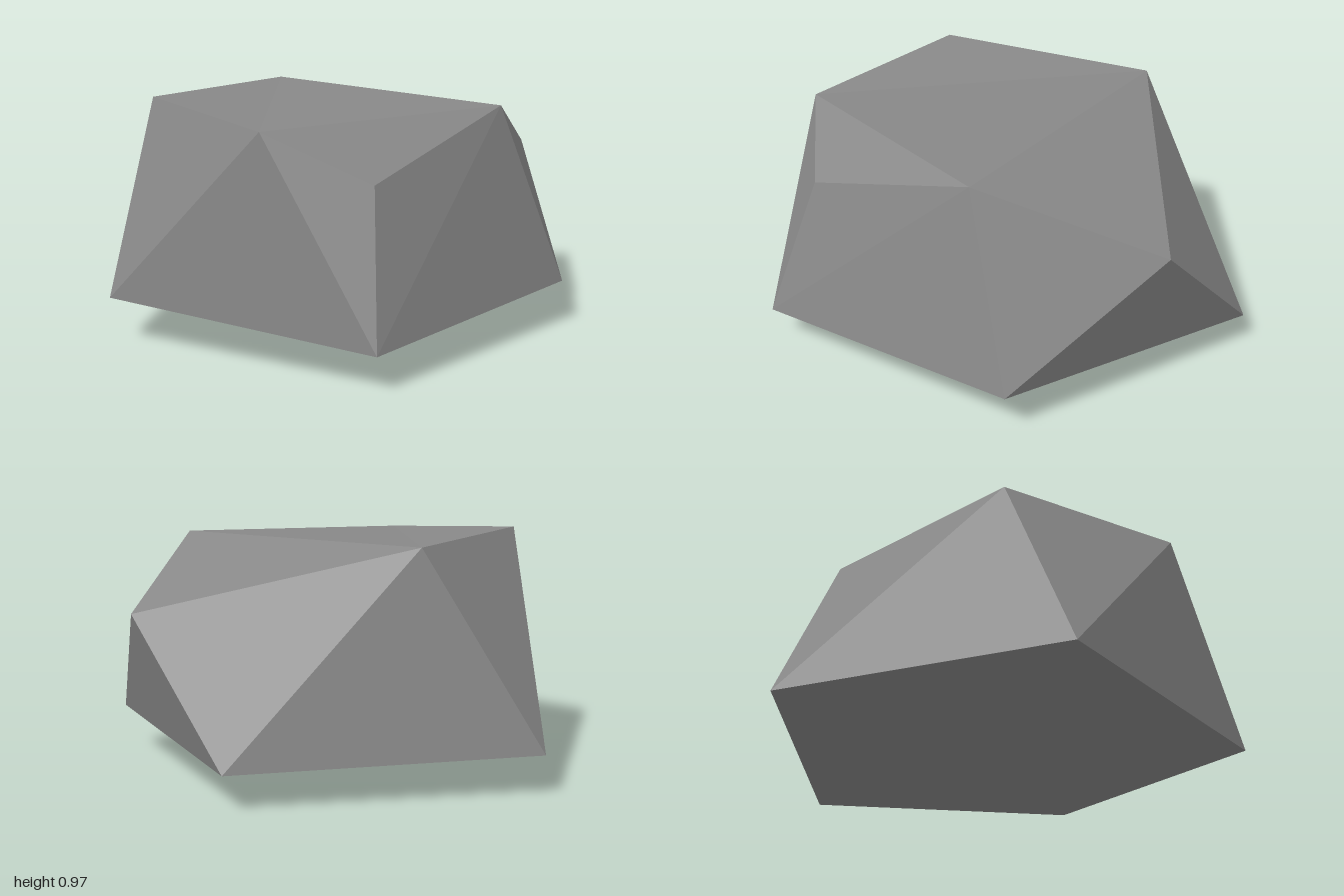
import * as THREE from 'three';

// Corners of the boulder
const corners = {
  // flat crown
  crownBack: [0.07, 0.95, -0.70], crownRight: [-0.73, 0.97, -0.19],
  crownFront: [-0.58, 0.93, 0.585], crownLeft: [0.51, 0.95, 0.525],
  // shoulders just below the crown
  shoulderLeft: [1.0, 0.68, -0.05], shoulderFront: [-0.21, 0.735, 0.80],
  // widest ring near the ground
  rimBack: [-0.31, 0.16, -1.0], rimBackLeft: [0.87, 0.14, -0.61],
  rimFrontLeft: [0.81, 0.185, 0.575], rimFront: [-0.30, 0.145, 1.0],
  rimRight: [-1.0, 0.19, 0.0],
  // lowest point
  foot: [0.015, 0, 0],
};

const rim = ['rimBack', 'rimBackLeft', 'rimFrontLeft', 'rimFront', 'rimRight'];

const facets = [
  // crown
  ['crownBack', 'crownRight', 'crownFront'],
  ['crownBack', 'crownFront', 'crownLeft'],
  ['crownBack', 'crownLeft', 'shoulderLeft'],
  // back
  ['rimBack', 'crownBack', 'crownRight'],
  ['rimBack', 'crownRight', 'rimRight'],
  ['rimBack', 'crownBack', 'rimBackLeft'],
  // left
  ['crownBack', 'rimBackLeft', 'shoulderLeft'],
  ['rimBackLeft', 'shoulderLeft', 'rimFrontLeft'],
  ['shoulderLeft', 'rimFrontLeft', 'crownLeft'],
  // front
  ['rimFrontLeft', 'crownLeft', 'rimFront'],
  ['crownLeft', 'shoulderFront', 'rimFront'],
  ['crownLeft', 'shoulderFront', 'crownFront'],
  ['shoulderFront', 'rimFront', 'crownFront'],
  // right
  ['rimFront', 'crownFront', 'rimRight'],
  ['crownFront', 'rimRight', 'crownRight'],
  // underside fan
  ...rim.map((name, i) => [name, rim[(i + 1) % rim.length], 'foot']),
];

// Separate triangles, each wound to face away from the middle
function facetedGeometry() {
  const middle = new THREE.Vector3(0, 0.5, 0);
  const points = [];
  for (const facet of facets) {
    const [a, b, c] = facet.map((name) => new THREE.Vector3(...corners[name]));
    const tri = new THREE.Triangle(a, b, c);
    const outward = tri.getNormal(new THREE.Vector3()).dot(a.clone().sub(middle)) > 0;
    points.push(...(outward ? [a, b, c] : [a, c, b]));
  }
  const geometry = new THREE.BufferGeometry().setFromPoints(points);
  geometry.computeVertexNormals();
  return geometry;
}

export function createModel() {
  const stone = new THREE.MeshStandardMaterial({ color: 0x888888, flatShading: true });
  stone.name = 'grey stone';

  const boulder = new THREE.Mesh(facetedGeometry(), stone);
  boulder.name = 'boulder';

  const model = new THREE.Group();
  model.name = 'rock';
  model.add(boulder);
  return model;
}
